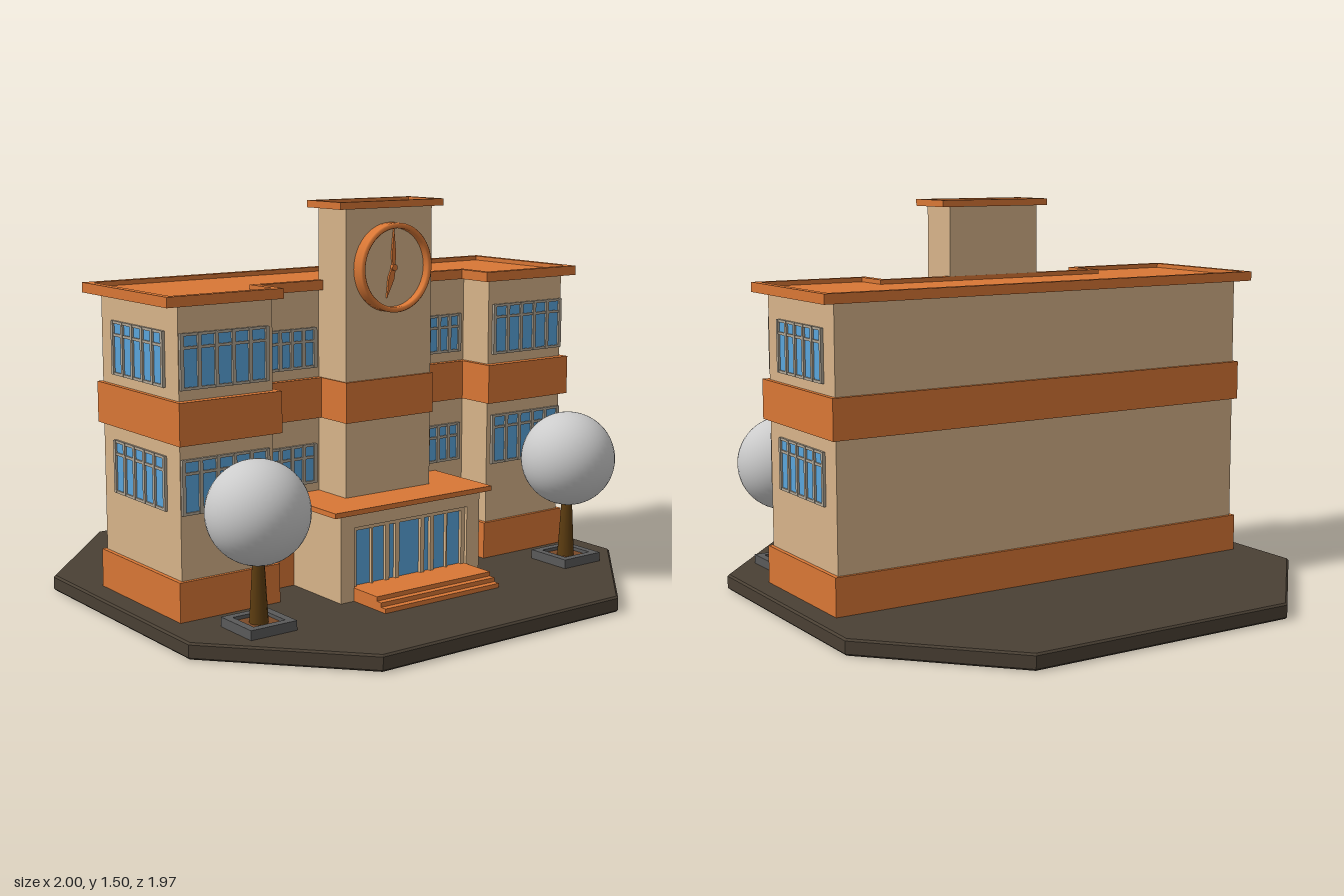
import * as THREE from 'three';

const mat = (color) => new THREE.MeshStandardMaterial({ color });
const M = {
  wall: mat(0xd8b48a), orange: mat(0xd97735), ground: mat(0x4a4034), glass: mat(0x5aa5dc),
  frame: mat(0xb0a594), bark: mat(0x5c3c10), stone: mat(0x5a5a5a), soil: mat(0x7a4a28), grey: mat(0xcccccc),
};

function add(parent, name, geometry, material, x = 0, y = 0, z = 0) {
  const mesh = new THREE.Mesh(geometry, material);
  mesh.name = name;
  mesh.position.set(x, y, z);
  parent.add(mesh);
  return mesh;
}

// Box given by its limits on each axis
function block(parent, name, material, x0, x1, y0, y1, z0, z1) {
  return add(parent, name, new THREE.BoxGeometry(x1 - x0, y1 - y0, z1 - z0), material,
    (x0 + x1) / 2, (y0 + y1) / 2, (z0 + z1) / 2);
}

// Plan points are [x, z]; the slab is extruded upwards from y0 to y1
const plan = (pts) => pts.map(([x, z]) => new THREE.Vector2(x, -z));
function slab(parent, name, material, pts, y0, y1, hole) {
  const shape = new THREE.Shape(plan(pts));
  if (hole) shape.holes.push(new THREE.Path(plan(hole)));
  const geo = new THREE.ExtrudeGeometry(shape, { depth: y1 - y0, bevelEnabled: false });
  geo.rotateX(-Math.PI / 2);
  return add(parent, name, geo, material, 0, y0, 0);
}

// U-shaped footprint: half width, inner wing edge, back, wing front, middle front
const footprint = (w, inner, back, front, mid) => [
  [-w, back], [-w, front], [-inner, front], [-inner, mid],
  [inner, mid], [inner, front], [w, front], [w, back]];
const rect = (x, z0, z1) => [[-x, z0], [-x, z1], [x, z1], [x, z0]];

// Window facing +z, centred in x, with its sill at y = 0
function makeWindow(name, w, h, panes) {
  const g = new THREE.Group();
  g.name = name;
  block(g, 'glass', M.glass, -w / 2, w / 2, 0, h, -0.01, 0.003);
  for (let i = 0; i <= panes; i++) {
    const x = -w / 2 + 0.006 + (w - 0.012) * i / panes;
    block(g, 'upright', M.frame, x - 0.007, x + 0.007, 0, h, -0.01, 0.011);
  }
  for (const y of [0.004, h - 0.05, h - 0.004])
    block(g, 'crossbar', M.frame, -w / 2, w / 2, y - 0.005, y + 0.005, -0.01, 0.009);
  return g;
}

function makeTree(x) {
  const g = new THREE.Group();
  g.name = 'tree';
  g.position.set(x, 0.06, 0.51);
  slab(g, 'planter', M.stone, rect(0.095, -0.095, 0.095), 0, 0.035, rect(0.065, -0.065, 0.065));
  block(g, 'soil', M.soil, -0.065, 0.065, 0, 0.022, -0.065, 0.065);
  add(g, 'trunk', new THREE.CylinderGeometry(0.02, 0.034, 0.24, 12), M.bark, 0, 0.14, 0);
  add(g, 'crown', new THREE.SphereGeometry(0.184, 40, 28), M.grey, 0, 0.413, 0);
  return g;
}

function makeClock() {
  const g = new THREE.Group();
  g.name = 'clock';
  g.position.set(0, 1.255, 0.31);
  // Rim with softened outer edges
  const profile = [[0.145, 0], [0.145, 0.044], [0.15, 0.05], [0.16, 0.05], [0.165, 0.044], [0.165, 0], [0.145, 0]]
    .reverse().map(([r, y]) => new THREE.Vector2(r, y));
  const rim = new THREE.LatheGeometry(profile, 48);
  rim.rotateX(Math.PI / 2);
  const rimMaterial = M.orange.clone();
  rimMaterial.side = THREE.DoubleSide;
  add(g, 'clockRim', rim, rimMaterial);
  const face = new THREE.CylinderGeometry(0.147, 0.147, 0.02, 48);
  face.rotateX(Math.PI / 2);
  add(g, 'clockFace', face, M.wall, 0, 0, 0.01);
  const hub = new THREE.CylinderGeometry(0.012, 0.012, 0.014, 20);
  hub.rotateX(Math.PI / 2);
  add(g, 'clockHub', hub, M.orange, 0, 0, 0.027);
  // Tapered hands
  for (const [name, length, width, turn] of [['longHand', 0.142, 0.012, 0], ['shortHand', 0.115, 0.018, 2.86]]) {
    const s = new THREE.Shape([[-width / 2, -0.01], [width / 2, -0.01], [width, length * 0.35], [0, length], [-width, length * 0.35]]
      .map(([x, y]) => new THREE.Vector2(x * 0.75, y)));
    const hand = add(g, name, new THREE.ExtrudeGeometry(s, { depth: 0.008, bevelEnabled: false }), M.orange, 0, 0, 0.02);
    hand.rotation.z = turn;
  }
  return g;
}

export function createModel() {
  const model = new THREE.Group();
  model.name = 'building';

  // Octagonal ground with a small chamfer
  const octagon = (d) => [[-0.55, -0.985], [-1, -0.5], [-1, 0.5], [-0.55, 0.985],
    [0.55, 0.985], [1, 0.5], [1, -0.5], [0.55, -0.985]].map(([x, z]) => [x * d, z * d]);
  const ground = new THREE.ExtrudeGeometry(new THREE.Shape(plan(octagon(0.993))),
    { depth: 0.046, bevelThickness: 0.007, bevelSize: 0.007, bevelSegments: 1 });
  ground.rotateX(-Math.PI / 2);
  add(model, 'ground', ground, M.ground, 0, 0.007, 0);

  // Main body, plinth, belt and rimmed roof
  slab(model, 'walls', M.wall, footprint(0.897, 0.51, -0.25, 0.29, 0.14), 0.06, 1.175);
  slab(model, 'plinth', M.orange, footprint(0.913, 0.492, -0.262, 0.303, 0.158), 0.06, 0.205);
  slab(model, 'belt', M.orange, footprint(0.914, 0.49, -0.264, 0.32, 0.163), 0.69, 0.842);
  const roofPlan = footprint(0.953, 0.477, -0.29, 0.315, 0.167);
  slab(model, 'roof', M.orange, roofPlan, 1.17, 1.19);
  slab(model, 'roofRim', M.orange, roofPlan, 1.19, 1.207, footprint(0.925, 0.505, -0.262, 0.287, 0.139));

  // Tower with cap and clock
  block(model, 'tower', M.wall, -0.2, 0.2, 0.06, 1.478, 0.14, 0.31);
  block(model, 'towerBelt', M.orange, -0.205, 0.205, 0.69, 0.842, 0.14, 0.32);
  const capPlan = rect(0.24, 0.125, 0.33);
  slab(model, 'towerCap', M.orange, capPlan, 1.474, 1.488);
  slab(model, 'towerCapRim', M.orange, capPlan, 1.488, 1.5, rect(0.22, 0.145, 0.31));
  model.add(makeClock());

  // Porch with a recessed glazed entrance
  for (const s of [-1, 1])
    block(model, 'porchSide', M.wall, s < 0 ? -0.33 : 0.268, s < 0 ? -0.268 : 0.33, 0.06, 0.39, 0.14, 0.455);
  block(model, 'porchLintel', M.wall, -0.268, 0.268, 0.335, 0.39, 0.14, 0.455);
  block(model, 'porchFloor', M.orange, -0.268, 0.268, 0.06, 0.11, 0.14, 0.455);
  block(model, 'porchRoof', M.orange, -0.372, 0.372, 0.388, 0.407, 0.14, 0.478);
  block(model, 'entranceGlass', M.glass, -0.268, 0.268, 0.11, 0.335, 0.38, 0.43);
  for (const x of [-0.259, -0.178, -0.107, -0.06, 0.06, 0.107, 0.178, 0.259]) {
    const half = Math.abs(x) === 0.178 ? 0.003 : 0.009;
    block(model, 'entrancePost', M.wall, x - half, x + half, 0.11, 0.335, 0.42, 0.443);
  }
  block(model, 'entranceHead', M.wall, -0.268, 0.268, 0.32, 0.335, 0.42, 0.443);

  // Steps
  for (let i = 0; i < 3; i++)
    block(model, 'step', M.orange, -0.27, 0.27, 0.06, 0.077 + i * 0.0165, 0.44, 0.64 - i * 0.025);

  // Windows on both floors of the wings, middle and ends
  for (const y of [0.44, 0.88]) {
    for (const s of [-1, 1]) {
      const wing = makeWindow('wingWindow', 0.362, 0.196, 5);
      wing.position.set(s * 0.712, y, 0.29);
      const middle = makeWindow('middleWindow', 0.275, 0.15, 5);
      middle.position.set(s * 0.353, y, 0.14);
      const end = makeWindow('endWindow', 0.364, 0.196, 5);
      end.position.set(s * 0.897, y, 0.018);
      end.rotation.y = s * Math.PI / 2;
      model.add(wing, middle, end);
    }
  }

  model.add(makeTree(-0.723), makeTree(0.743));
  return model;
}
